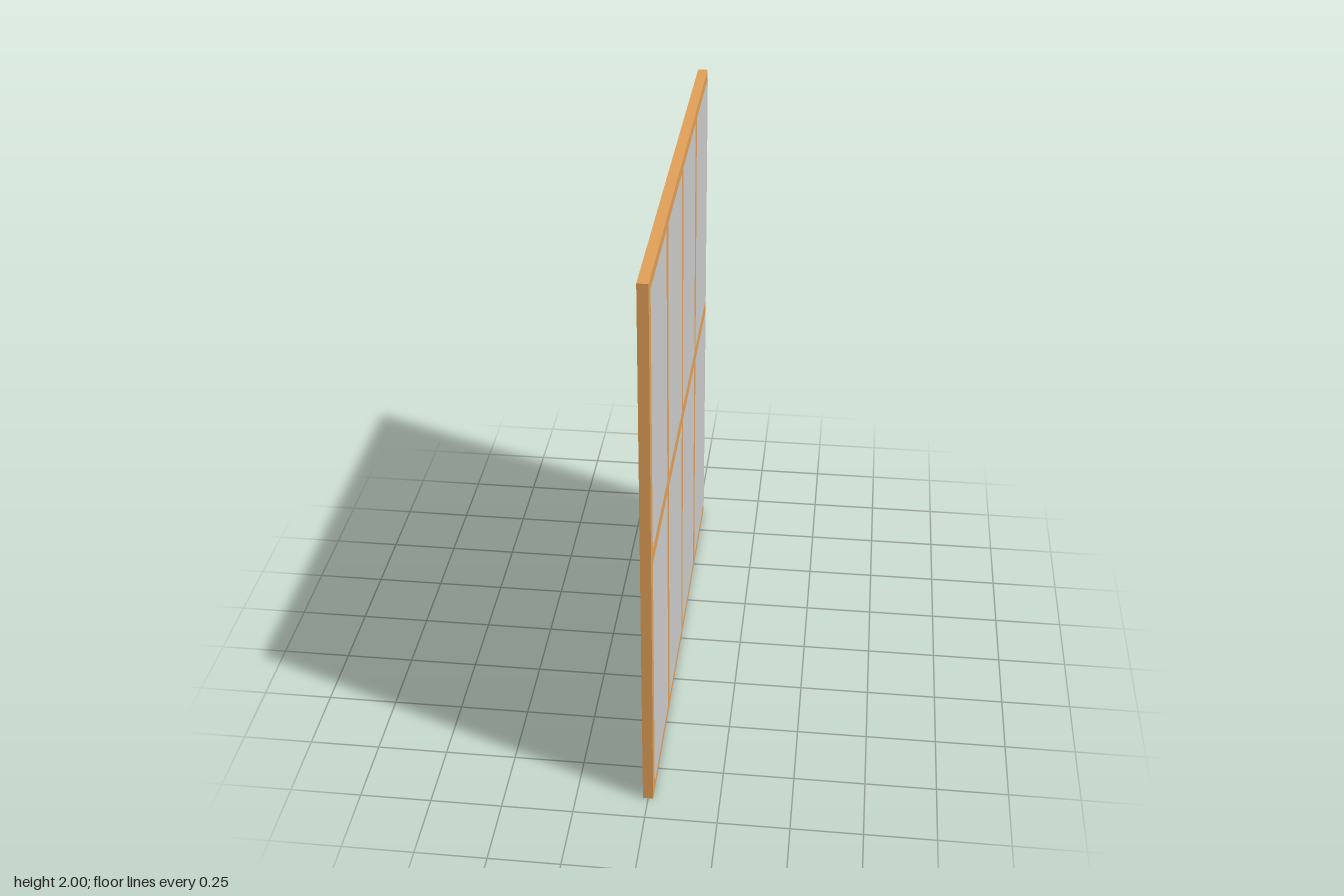
import * as THREE from 'three';

const HEIGHT = 2, THICK = 0.036, WIDTH = 0.905;

// Pane openings: distance from the door's stile edge, and height
const COLUMNS = [[0.04, 0.447], [0.495, WIDTH]];
const ROWS = [[0.04, 0.975], [1.03, 1.965]];

export function createModel() {
  const wood = new THREE.MeshStandardMaterial({ color: 0xe2a058 });
  const paper = new THREE.MeshStandardMaterial({ color: 0xcccccc });

  // One door leaf: a wooden slab with flush panes on both faces
  function makeDoor(name, stileZ) {
    const door = new THREE.Group();
    door.name = name;

    const slab = new THREE.Mesh(new THREE.BoxGeometry(THICK, HEIGHT, WIDTH), wood);
    slab.name = 'woodenFrame';
    slab.position.set(0, HEIGHT / 2, stileZ - WIDTH / 2);
    door.add(slab);

    for (const side of [1, -1]) {
      for (const [near, far] of COLUMNS) {
        for (const [bottom, top] of ROWS) {
          const pane = new THREE.Mesh(new THREE.PlaneGeometry(far - near, top - bottom), paper);
          pane.name = 'pane';
          pane.rotation.y = side * Math.PI / 2;
          pane.position.set(side * (THICK / 2 + 0.001), (bottom + top) / 2, stileZ - (near + far) / 2);
          door.add(pane);
        }
      }
    }
    return door;
  }

  const model = new THREE.Group();
  model.name = 'panelledScreen';
  model.add(makeDoor('frontDoor', WIDTH), makeDoor('backDoor', 0));
  return model;
}
